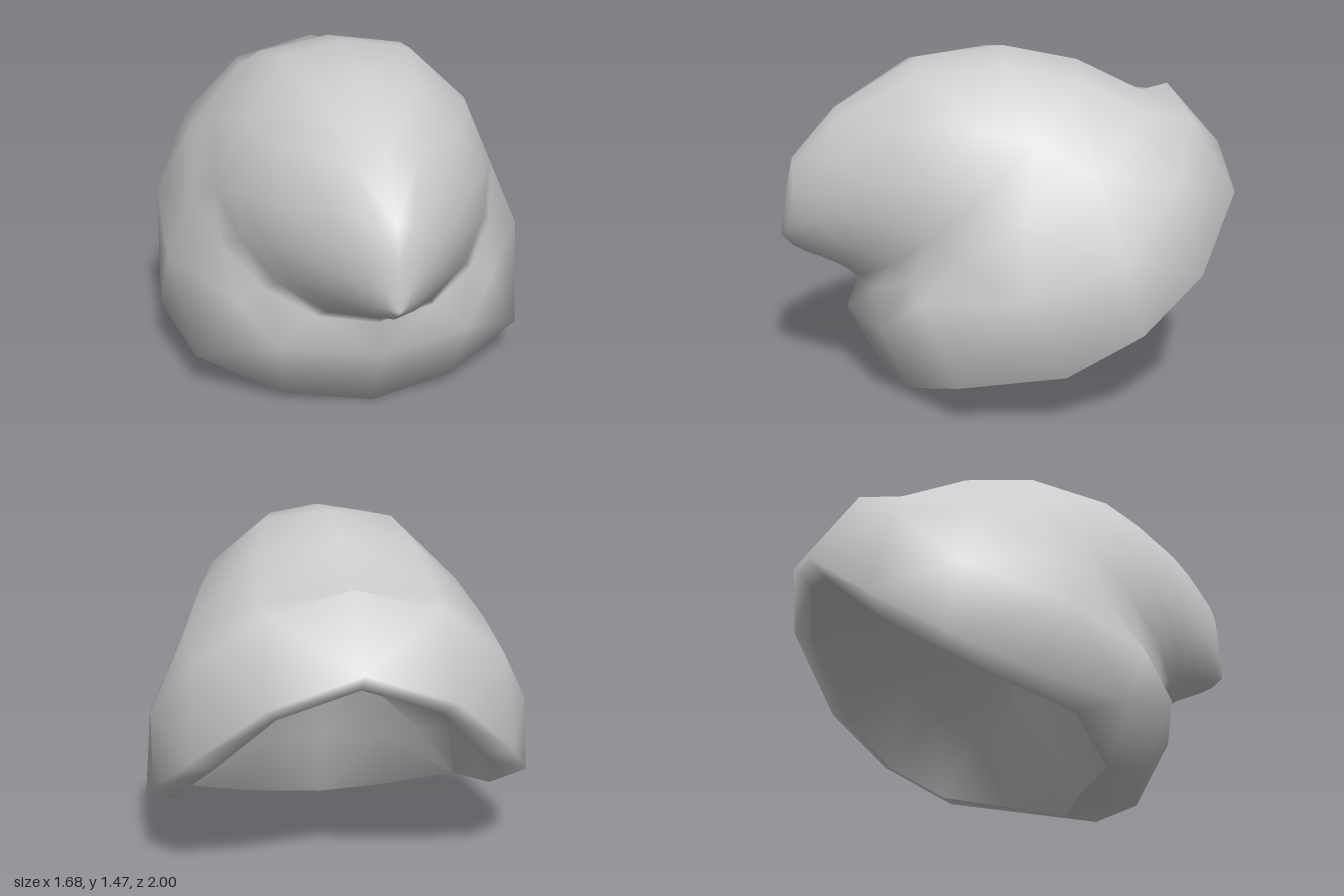
import * as THREE from 'three';
import { mergeVertices, toCreasedNormals } from 'three/addons/utils/BufferGeometryUtils.js';

const HALF = 7, SIDES = 14;

// Half outline of a crown section: [share of half width, -1 bottom .. 1 top]
const OUTLINE = [[0, 1], [0.53, 0.91], [0.92, 0.46], [0.99, -0.03], [0.86, -0.4], [0.66, -0.7], [0.36, -0.92], [0, -1]];

// Full ring from the half ring running from the back round the left side to the front
function mirrorRing(half) {
  const ring = half.map((p) => new THREE.Vector3(...p));
  for (let i = HALF - 1; i > 0; i--) ring.push(new THREE.Vector3(-half[i][0], half[i][1], half[i][2]));
  return ring;
}

// Tilted section of the crown: top (y, z), bottom (y, z), half width
function section([ty, tz, by, bz, w]) {
  return mirrorRing(OUTLINE.map(([s, t]) => [
    w * s,
    (ty + by) / 2 + t * (ty - by) / 2,
    (tz + bz) / 2 + t * (tz - bz) / 2,
  ]));
}

const point = (y, z) => Array.from({ length: SIDES }, () => new THREE.Vector3(0, y, z));

// Skin a list of rings, splitting each quad along its shorter diagonal
function skin(rings) {
  const pos = [], index = [];
  rings.forEach((ring) => ring.forEach((p) => pos.push(p.x, p.y, p.z)));
  const addTriangle = (...t) => {
    const [a, b, c] = t.map((k) => rings[Math.floor(k / SIDES)][k % SIDES]);
    if (new THREE.Triangle(a, b, c).getArea() > 1e-6) index.push(...t);
  };
  for (let r = 0; r < rings.length - 1; r++) {
    for (let i = 0; i < SIDES; i++) {
      const j = (i + 1) % SIDES;
      const a = r * SIDES + i, b = r * SIDES + j, c = b + SIDES, d = a + SIDES;
      const ac = rings[r][i].distanceTo(rings[r + 1][j]);
      const bd = rings[r][j].distanceTo(rings[r + 1][i]);
      if (ac < bd) {
        addTriangle(a, d, c);
        addTriangle(a, c, b);
      } else {
        addTriangle(a, d, b);
        addTriangle(d, c, b);
      }
    }
  }
  const raw = new THREE.BufferGeometry();
  raw.setAttribute('position', new THREE.Float32BufferAttribute(pos, 3));
  raw.setIndex(index);
  const geo = mergeVertices(raw, 1e-4);
  geo.computeVertexNormals();
  return geo;
}

export function createModel() {
  const group = new THREE.Group();
  group.name = 'floppyHat';
  const material = new THREE.MeshStandardMaterial({ color: 0xcccccc });

  // Crown sections from the brim crease to the drooping front tip
  const crown = [
    [1.25, -0.63, 0.43, 0.66, 0.70],
    [1.40, -0.33, 0.475, 0.71, 0.62],
    [1.47, 0.0, 0.515, 0.77, 0.54],
    [1.43, 0.38, 0.54, 0.83, 0.41],
    [1.22, 0.74, 0.57, 0.90, 0.25],
    [1.0, 0.94, 0.60, 0.95, 0.12],
    [0.85, 0.975, 0.62, 0.97, 0.06],
  ];

  // Shallow hollow inside, folded along the middle
  const hollowRing = mirrorRing([
    [0, 0.92, -0.62], [0.25, 0.82, -0.53], [0.43, 0.68, -0.42], [0.53, 0.56, -0.25],
    [0.55, 0.47, -0.07], [0.44, 0.41, 0.05], [0.25, 0.38, 0.11], [0, 0.36, 0.17],
  ]);

  // Rolled brim: inner lip, bottom rim and upper ridge
  const lip = mirrorRing([
    [0, 0.92, -0.92], [0.33, 0.80, -0.88], [0.57, 0.53, -0.68], [0.70, 0.345, -0.45],
    [0.72, 0.22, -0.18], [0.62, 0.16, 0.12], [0.34, 0.04, 0.33], [0, 0.03, 0.30],
  ]);
  const rim = mirrorRing([
    [0, 1.0, -1.0], [0.38, 0.86, -0.96], [0.67, 0.58, -0.735], [0.81, 0.38, -0.45],
    [0.84, 0.23, -0.12], [0.735, 0.17, 0.31], [0.37, 0.035, 0.48], [0, 0, 0.56],
  ]);
  const ridge = mirrorRing([
    [0, 1.28, -0.75], [0.36, 1.19, -0.76], [0.64, 0.97, -0.64], [0.81, 0.69, -0.38],
    [0.81, 0.55, 0.05], [0.56, 0.48, 0.45], [0.42, 0.33, 0.60], [0, 0.30, 0.72],
  ]);

  // Outer shell: brim, crown and tip
  const shell = new THREE.Mesh(skin([lip, rim, ridge, ...crown.map(section), point(0.65, 1.0)]), material);
  shell.name = 'crownAndBrim';

  // Inside of the hat
  const hollow = new THREE.Mesh(toCreasedNormals(skin([point(0.83, 0.04), hollowRing, lip]), 0.8), material);
  hollow.name = 'hollow';

  group.add(shell, hollow);
  return group;
}
